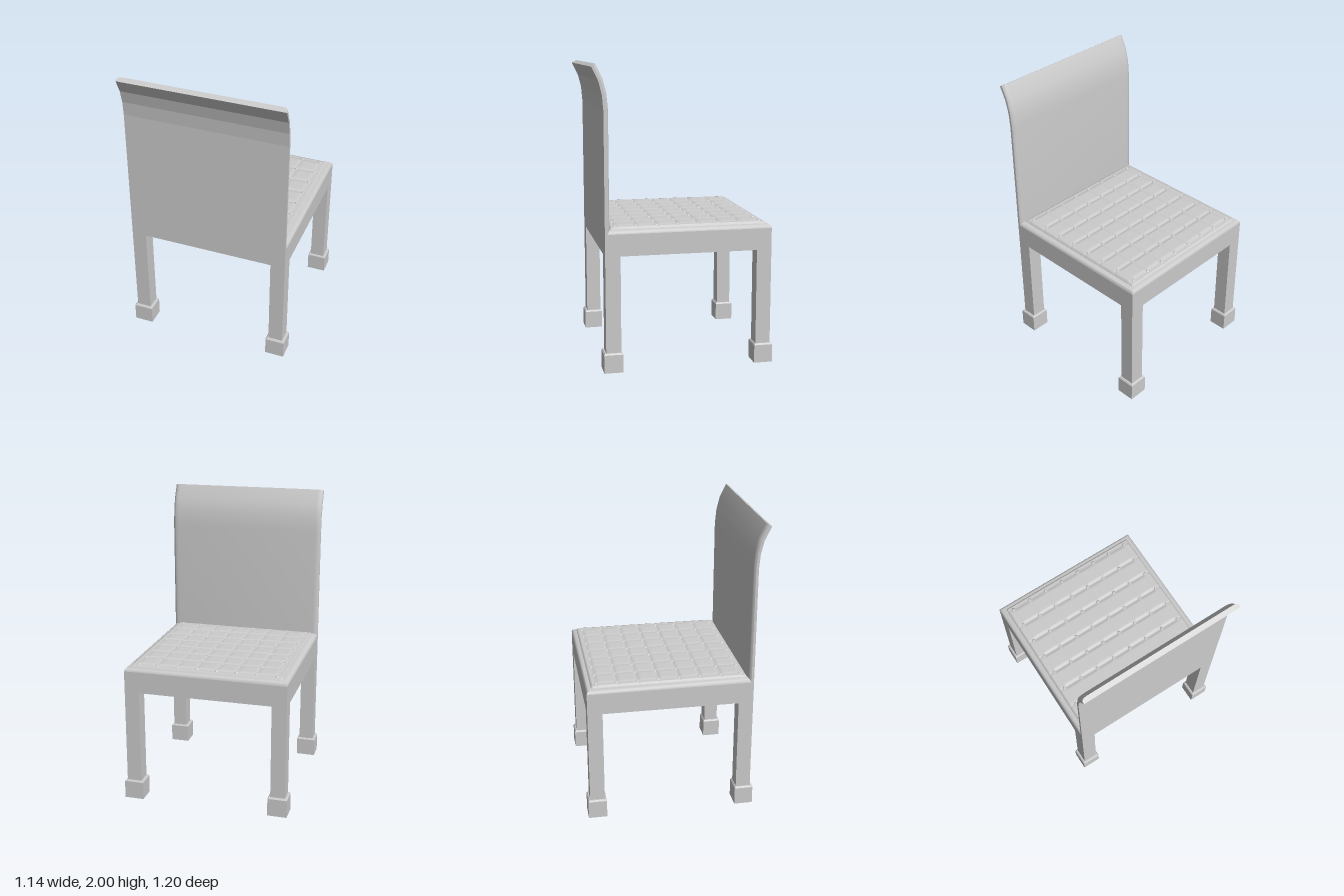
import * as THREE from 'three';
import { toCreasedNormals } from 'three/addons/utils/BufferGeometryUtils.js';

const material = new THREE.MeshStandardMaterial({ color: 0xcccccc });
const X = 0.553, FRONT = -0.586, BACK = 0.527, LEG = 0.1;
const FRAME_BOTTOM = 0.775, FRAME_TOP = 0.92;

function add(parent, name, geometry, x = 0, y = 0, z = 0) {
  const mesh = new THREE.Mesh(geometry, material);
  mesh.name = name;
  mesh.position.set(x, y, z);
  parent.add(mesh);
  return mesh;
}

// Box given by its limits
function block(parent, name, x0, x1, y0, y1, z0, z1) {
  return add(parent, name, new THREE.BoxGeometry(x1 - x0, y1 - y0, z1 - z0),
    (x0 + x1) / 2, (y0 + y1) / 2, (z0 + z1) / 2);
}

// Skin over cross-sections stacked upward, each running counter-clockwise seen from above
function skin(rows, closed, crease) {
  const n = rows[0].length, index = [];
  for (let i = 0; i < rows.length - 1; i++) {
    for (let j = 0; j < (closed ? n : n - 1); j++) {
      const k = (j + 1) % n;
      const a = i * n + j, b = i * n + k, c = b + n, d = a + n;
      index.push(a, b, c, a, c, d);
    }
  }
  const geometry = new THREE.BufferGeometry();
  geometry.setAttribute('position', new THREE.Float32BufferAttribute(rows.flat(2), 3));
  geometry.setIndex(index);
  return toCreasedNormals(geometry, crease);
}

const rect = (y, x0, x1, z0, z1) => [[x0, y, z1], [x1, y, z1], [x1, y, z0], [x0, y, z0]];

// Foot block with a bevelled top
function footGeometry() {
  const r = (y, s) => rect(y, -s, s, -s + 0.003, s - 0.003);
  return skin([r(0, 0.003), r(0, 0.066), r(0.122, 0.066), r(0.132, 0.058), r(0.132, 0.003)], true, 0.3);
}

// Backrest: flat facets behind, soft rounded edge and smooth face in front
function backrest(parent) {
  // [back z, back y, face z, face y]
  const path = [
    [0.527, 0.92, 0.493, 0.92], [0.527, 1.71, 0.493, 1.71], [0.535, 1.805, 0.502, 1.812],
    [0.556, 1.892, 0.524, 1.905], [0.6, 1.982, 0.57, 2],
  ];
  const at = ([bz, by, fz, fy], x, t) => [x, by + (fy - by) * t, bz + (fz - bz) * t];
  add(parent, 'backrestRear', skin(path.map((p) => [at(p, -X, 0), at(p, X, 0)]), false, 0.01));

  const half = [[X, 0], [X, 0.5], [0.546, 0.78], [0.534, 0.94], [0.515, 1]];
  const section = [...half, ...half.map(([x, t]) => [-x, t]).reverse()];
  const rows = path.map((p) => section.map(([x, t]) => at(p, x, t)));
  rows.push(section.map(([x]) => at(path[4], x, 0)));
  add(parent, 'backrestFace', skin(rows, false, 0.6));
}

// Quilted seat pad with shallow grooves along the rows and columns of buttons
function seatPad(parent) {
  const x0 = -0.472, dx = 0.1349, z0 = -0.517, dz = 0.1385, count = 8;
  const groove = (v, start, step) => {
    const u = (v - start) / step;
    if (u < 0 || u > count - 1) return 1;
    return Math.max(0, 1 - Math.abs(u - Math.round(u)) * step / 0.018);
  };
  const seg = 120, zMid = -0.032;
  const geometry = new THREE.PlaneGeometry(1.034, 1.046, seg, seg).rotateX(-Math.PI / 2);
  const p = geometry.attributes.position;
  for (let i = 0; i < p.count; i++) {
    const col = i % (seg + 1), row = Math.floor(i / (seg + 1));
    const edge = col === 0 || col === seg || row === 0 || row === seg;
    const gx = groove(p.getX(i), x0, dx), gz = groove(p.getZ(i) + zMid, z0, dz);
    p.setY(i, edge ? 0.942 : 0.965 - 0.008 * Math.max(gz, gx * 0.5));
  }
  geometry.computeVertexNormals();
  add(parent, 'seatPad', geometry, 0, 0, zMid);

  const button = toCreasedNormals(new THREE.CylinderGeometry(0.008, 0.015, 0.008, 6), 0.3);
  for (let i = 0; i < count; i++) {
    for (let j = 0; j < count; j++) add(parent, 'seatButton', button, x0 + i * dx, 0.961, z0 + j * dz);
  }
}

export function createModel() {
  const chair = new THREE.Group();
  chair.name = 'chair';

  // Legs and feet
  const foot = footGeometry();
  for (const s of [-1, 1]) {
    for (const [name, z] of [['front', FRONT + LEG / 2], ['back', BACK - LEG / 2]]) {
      const x = s * (X - LEG / 2);
      block(chair, name + 'Leg', x - LEG / 2, x + LEG / 2, 0.1, FRAME_BOTTOM, z - LEG / 2, z + LEG / 2);
      add(chair, name + 'Foot', foot, s * 0.503, 0, name === 'front' ? -0.537 : 0.48);
    }
    const [a, b] = s < 0 ? [-X, -X + LEG] : [X - LEG, X];
    block(chair, 'sideApron', a, b, FRAME_BOTTOM, FRAME_TOP, FRONT + LEG, BACK - LEG);
  }

  // Front and back aprons, and the board under the seat
  block(chair, 'frontApron', -X, X, FRAME_BOTTOM, FRAME_TOP, FRONT, FRONT + LEG);
  block(chair, 'backApron', -X, X, FRAME_BOTTOM, FRAME_TOP, BACK - LEG, BACK);
  block(chair, 'seatBoard', -X + LEG, X - LEG, 0.87, FRAME_TOP, FRONT + LEG, BACK - LEG);

  // Rounded rim around the seat
  const rim = [[0.92, 0], [0.932, 0.003], [0.94, 0.011], [0.945, 0.023], [0.946, 0.045]];
  const rows = rim.map(([y, d]) => rect(y, -X + d, X - d, FRONT + d, 0.51));
  add(chair, 'seatRim', skin(rows, true, 0.7));

  seatPad(chair);
  backrest(chair);
  return chair;
}
